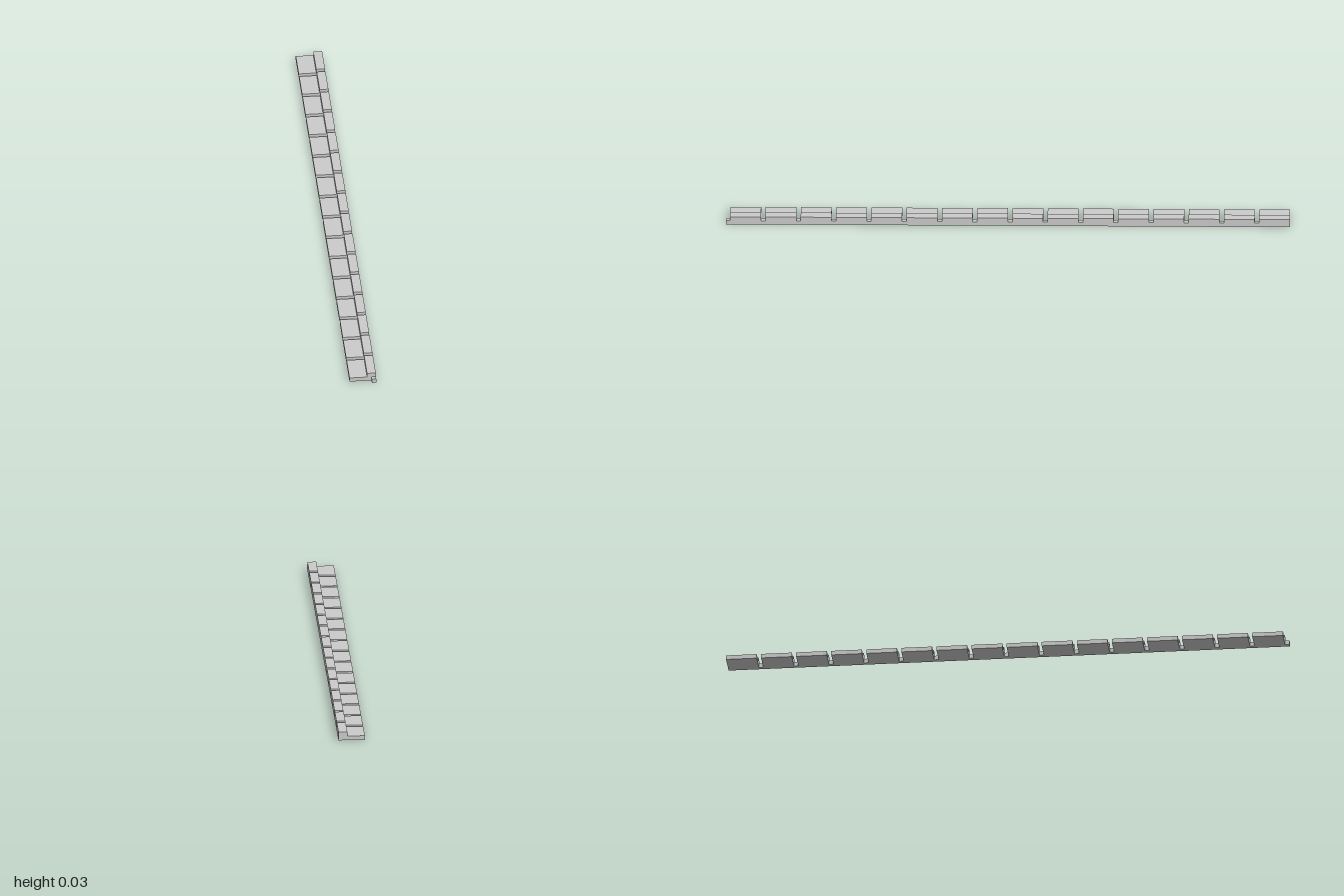
import * as THREE from 'three';

const U = 1 / 64;      // base unit: the strip is 128 units long
const COUNT = 16;      // repeated segments
const PITCH = 8 * U;   // 7 units of tread plus 1 unit of gap

export function createModel() {
  const model = new THREE.Group();
  model.name = 'notchedStrip';
  const material = new THREE.MeshStandardMaterial({ color: 0xcccccc, flatShading: true });

  // L-shaped cross-section: flat plate with a raised rail on the left side
  const profile = new THREE.Shape(
    [[-3, 0], [3, 0], [3, 2], [1, 2], [1, 1], [-3, 1]].map(([x, y]) => new THREE.Vector2(x * U, y * U))
  );
  const segmentGeometry = new THREE.ExtrudeGeometry(profile, { depth: 7 * U, bevelEnabled: false });

  // Small square bar bridging each gap at the outer edge
  const linkGeometry = new THREE.BoxGeometry(U, U, U);
  linkGeometry.translate(2.5 * U, 0.5 * U, 7.5 * U);

  for (let i = 0; i < COUNT; i++) {
    const segment = new THREE.Mesh(segmentGeometry, material);
    segment.name = `segment${i + 1}`;
    const link = new THREE.Mesh(linkGeometry, material);
    link.name = `link${i + 1}`;
    segment.position.z = link.position.z = -1 + i * PITCH;
    model.add(segment, link);
  }
  return model;
}
